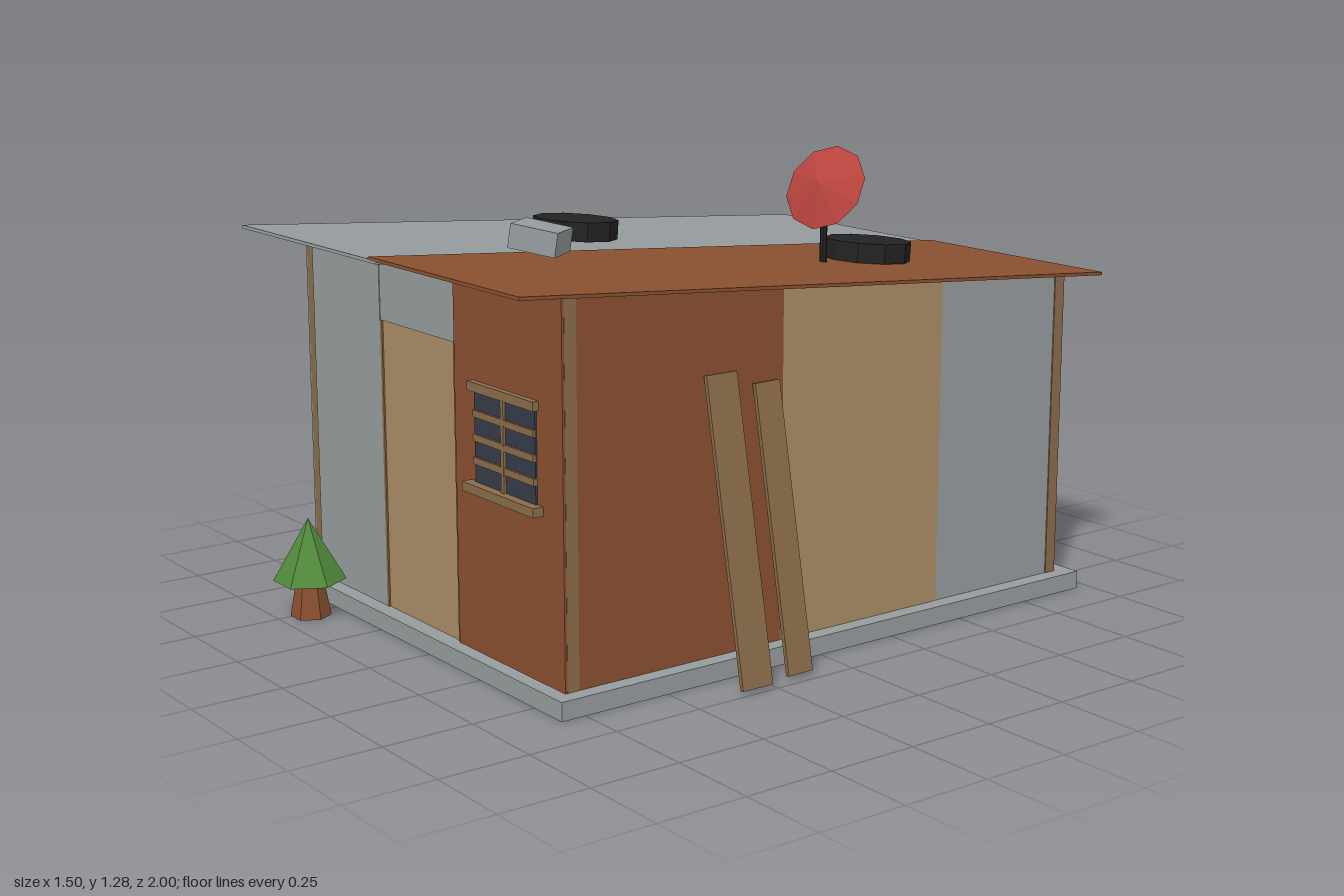
import * as THREE from 'three';

const SLOPE = 0.0757;
const roofTop = (z) => 0.99 + SLOPE * z;
const PITCH = -Math.atan(SLOPE);

export function createModel() {
  const root = new THREE.Group();
  root.name = 'shack';
  const mat = (name, color, side = THREE.FrontSide) => {
    const m = new THREE.MeshStandardMaterial({ color, flatShading: true, side });
    m.name = name;
    return m;
  };
  const metal = mat('greyMetal', 0x969c9e);
  const rust = mat('rustBrown', 0x8a5030);
  const tan = mat('tanPlywood', 0xab8d66);
  const wood = mat('brownWood', 0x8a6c4a);
  const black = mat('blackRubber', 0x232323);
  const glass = mat('darkGlass', 0x353b48);
  const red = mat('redDish', 0xb8433d, THREE.DoubleSide);
  const green = mat('leafGreen', 0x528a3c);

  const add = (name, geo, material, x = 0, y = 0, z = 0) => {
    const m = new THREE.Mesh(geo, material);
    m.name = name;
    m.position.set(x, y, z);
    root.add(m);
    return m;
  };
  // Box given by its limits
  const block = (name, material, x0, x1, y0, y1, z0, z1) =>
    add(name, new THREE.BoxGeometry(x1 - x0, y1 - y0, z1 - z0), material,
      (x0 + x1) / 2, (y0 + y1) / 2, (z0 + z1) / 2);
  // Upright panel whose top edge follows the roof slope
  const panel = (name, material, x0, x1, z0, z1, y0 = 0.05) => {
    const geo = new THREE.BoxGeometry(x1 - x0, 1, z1 - z0);
    geo.translate((x0 + x1) / 2, 0, (z0 + z1) / 2);
    const p = geo.attributes.position;
    for (let i = 0; i < p.count; i++) {
      p.setY(i, p.getY(i) > 0 ? roofTop(p.getZ(i)) - 0.013 : y0);
    }
    geo.computeVertexNormals();
    return add(name, geo, material);
  };

  // Foundation
  block('foundation', metal, -0.74, 0.62, 0, 0.05, -0.96, 0.82);

  // Corner posts
  for (const [x0, x1] of [[-0.69, -0.655], [0.542, 0.577]]) {
    panel('frontPost', wood, x0, x1, 0.738, 0.773);
    panel('backPost', wood, x0, x1, -0.91, -0.875);
  }

  // Front wall
  panel('frontMetalPanel', metal, -0.655, -0.29, 0.762, 0.776);
  panel('panelAboveDoor', metal, -0.29, 0.09, 0.762, 0.774, 0.845);
  panel('frontRustPanel', rust, 0.09, 0.577, 0.7735, 0.78);
  block('door', tan, -0.281, 0.079, 0.05, 0.845, 0.755, 0.772);
  for (const x of [-0.29, 0.079]) block('doorJamb', wood, x, x + 0.01, 0.05, 0.845, 0.755, 0.776);

  // Right-hand wall in view of the planks
  panel('sideRustPanel', rust, 0.56, 0.576, 0.1, 0.738);
  panel('sidePlywoodPanel', tan, 0.56, 0.575, -0.45, 0.1);
  panel('sideMetalPanel', metal, 0.56, 0.574, -0.875, -0.45);

  // Opposite wall
  panel('farMetalPanel', metal, -0.697, -0.6905, -0.15, 0.772);
  panel('farPlywoodPanel', tan, -0.696, -0.6905, -0.91, -0.15);

  // Back wall
  panel('backPanel', metal, -0.06, 0.542, -0.908, -0.895);
  panel('backPanelOverlap', metal, -0.697, -0.06, -0.915, -0.9105);

  // Roof sheets, the rusty one lapping over the grey one
  const roofSheet = (name, material, x0, x1, lift) => {
    const geo = new THREE.BoxGeometry(x1 - x0, 0.009, 1.94);
    const zc = -0.031;
    add(name, geo, material, (x0 + x1) / 2, roofTop(zc) - 0.0085 + lift, zc).rotation.x = PITCH;
  };
  roofSheet('greyRoofSheet', metal, -0.755, -0.02, 0);
  roofSheet('rustRoofSheet', rust, -0.06, 0.635, 0.006);

  // Window with bars, lintel and sill
  block('windowGlass', glass, 0.19, 0.465, 0.5, 0.745, 0.779, 0.785);
  block('windowMullion', wood, 0.32, 0.333, 0.5, 0.745, 0.78, 0.792);
  for (const y of [0.562, 0.622, 0.684]) {
    block('windowBar', wood, 0.19, 0.465, y - 0.009, y + 0.009, 0.78, 0.791);
  }
  block('windowLintel', wood, 0.175, 0.475, 0.742, 0.766, 0.778, 0.797);
  block('windowSill', wood, 0.165, 0.49, 0.481, 0.505, 0.778, 0.81);

  // Planks leaning on the wall
  const plank = (xTop, yTop, xBottom, z, width, twist) => {
    const dx = xTop - xBottom, dy = yTop - 0.012;
    const m = add('leaningPlank', new THREE.BoxGeometry(0.012, Math.hypot(dx, dy), width), wood,
      (xTop + xBottom) / 2, (yTop + 0.012) / 2, z);
    m.rotation.set(twist, 0, Math.atan2(-dx, dy));
  };
  plank(0.588, 0.793, 0.742, 0.312, 0.096, 0);
  plank(0.588, 0.753, 0.722, 0.161, 0.079, 0.012);

  // Tyres lying on the roof
  for (const [x, z] of [[-0.31, 0.13], [0.258, -0.46]]) {
    add('roofTyre', new THREE.CylinderGeometry(0.12, 0.12, 0.054, 10), black,
      x, roofTop(z) + 0.03, z).rotation.x = PITCH;
  }

  // Loose block on the roof
  const brick = add('roofBlock', new THREE.BoxGeometry(0.134, 0.066, 0.107), metal, 0.025, 1.077, 0.47);
  brick.rotation.set(0, 0.59, -0.15);

  // Faceted dish on a pole
  add('dishPole', new THREE.CylinderGeometry(0.01, 0.01, 0.2, 8), black, 0.278, 1.065, -0.283);
  const dishGeo = new THREE.ConeGeometry(0.122, 0.04, 10);
  dishGeo.rotateX(Math.PI / 2);
  const dish = add('dish', dishGeo, red, 0.277, 1.182, -0.275);
  dish.rotation.order = 'YXZ';
  dish.rotation.set(-0.5, 0.27, 0);

  // Small tree
  add('treeTrunk', new THREE.CylinderGeometry(0.036, 0.056, 0.11, 6), rust, -0.48, 0.055, 0.91)
    .rotation.y = Math.PI / 6;
  add('treeCrown', new THREE.ConeGeometry(0.1, 0.175, 6), green, -0.48, 0.19, 0.91)
    .rotation.y = Math.PI / 6;

  return root;
}
